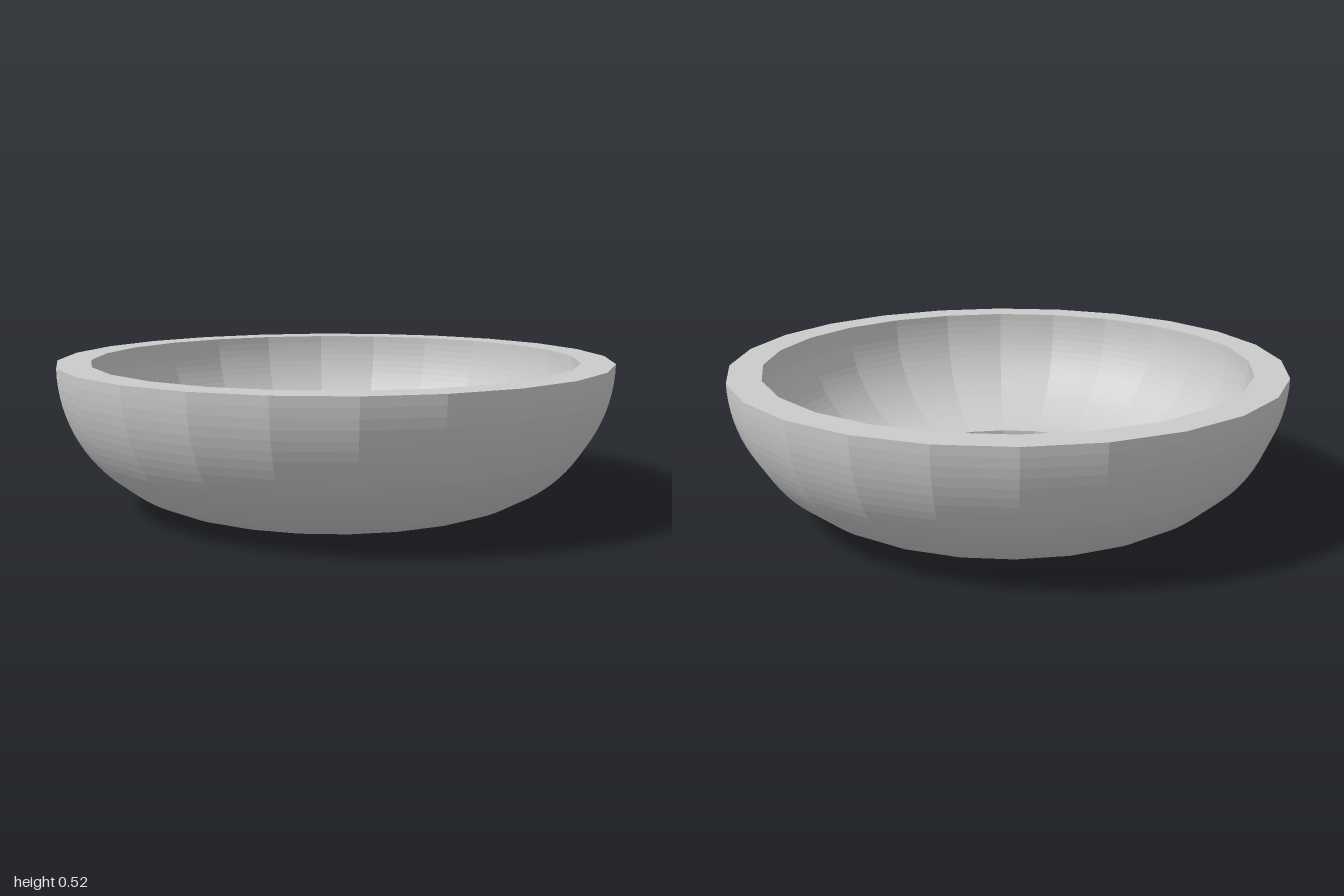
import * as THREE from 'three';

export function createModel() {
  const group = new THREE.Group();
  const holeRadius = 0.477, outerArc = 0.52, wall = 0.12, steps = 24;
  const points = [];

  // quarter-circle section around the hole edge, t = 0 at the bottom
  const arcPoint = (radius, t) => {
    const a = (t * Math.PI) / 2;
    return new THREE.Vector2(holeRadius + radius * Math.sin(a), outerArc - radius * Math.cos(a));
  };

  // outer curve upward, flat rim, inner curve downward, hole wall
  for (let i = 0; i <= steps; i++) points.push(arcPoint(outerArc, i / steps));
  for (let i = steps; i >= 0; i--) points.push(arcPoint(outerArc - wall, i / steps));
  points.push(points[0].clone());

  const ring = new THREE.Mesh(
    new THREE.LatheGeometry(points, 24),
    new THREE.MeshStandardMaterial({ color: 0xcccccc, flatShading: true })
  );
  ring.name = 'openBowlRing';
  group.add(ring);
  return group;
}
